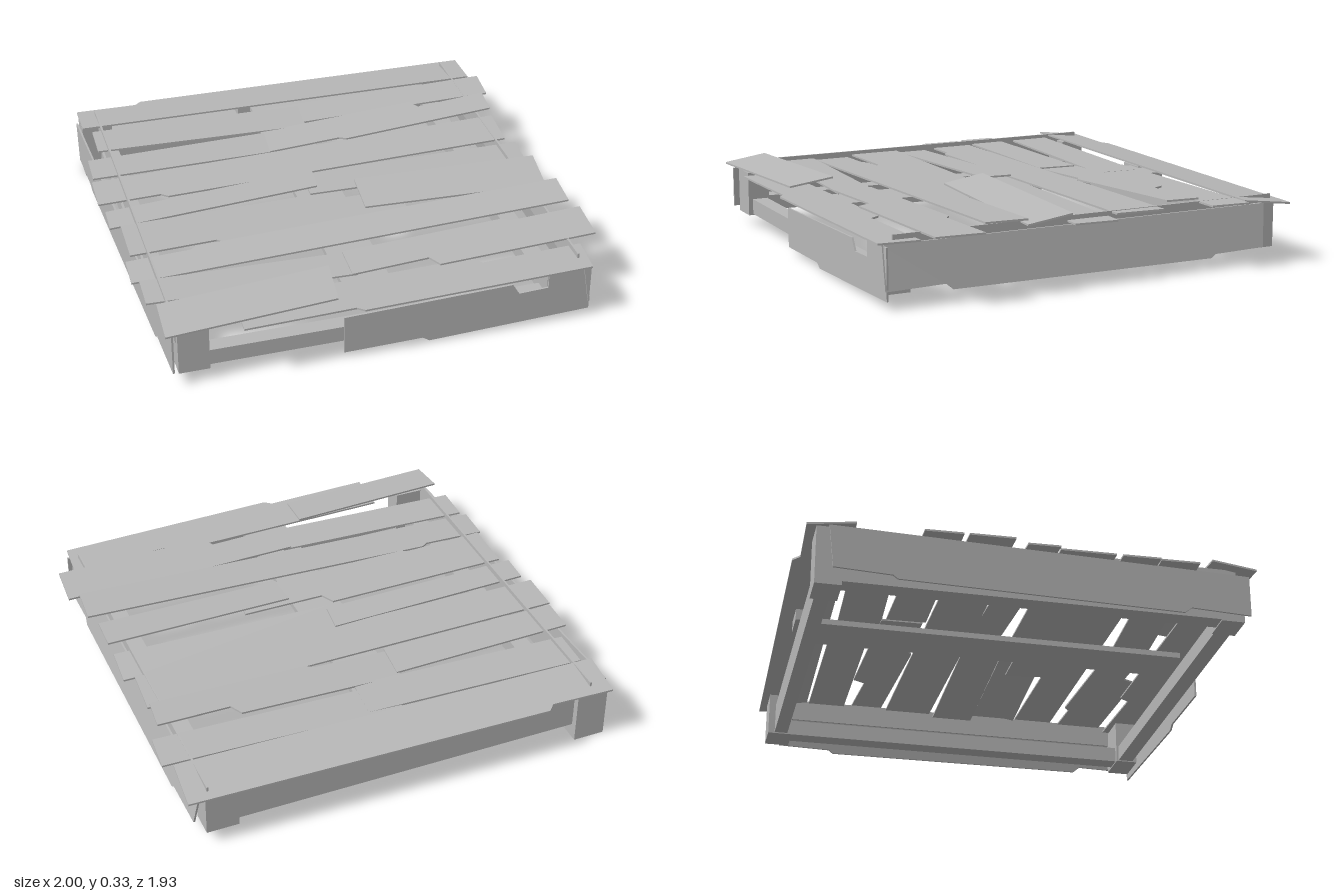
import * as THREE from 'three';

export function createModel() {
  const group = new THREE.Group();
  group.name = 'woodenPlatform';
  const wood = new THREE.MeshStandardMaterial({ color: 0xb8b8b8, side: THREE.DoubleSide });
  wood.name = 'greyWood';

  // Thin board from an outline: axis y takes (x, z), axis x takes (z, y), axis z takes (x, y).
  // offset(u, v) sets its position along the axis, so boards can lean.
  function board(name, axis, outline, offset) {
    const thickness = 0.008;
    const su = axis === 'x' ? -1 : 1, sv = axis === 'y' ? -1 : 1;
    const shape = new THREE.Shape(outline.map(([u, v]) => new THREE.Vector2(u * su, v * sv)));
    const geo = new THREE.ExtrudeGeometry(shape, { depth: thickness, bevelEnabled: false });
    const p = geo.attributes.position;
    for (let i = 0; i < p.count; i++) {
      const u = p.getX(i) * su, v = p.getY(i) * sv;
      const w = p.getZ(i) - thickness / 2 + offset(u, v);
      if (axis === 'y') p.setXYZ(i, u, w, v);
      else if (axis === 'x') p.setXYZ(i, w, v, u);
      else p.setXYZ(i, u, v, w);
    }
    geo.computeVertexNormals();
    const mesh = new THREE.Mesh(geo, wood);
    mesh.name = name;
    group.add(mesh);
  }

  // Deck plank between two ends, each given as [x, back z, front z].
  // A step [x, z before, z after] is a splintered break in the back or front edge.
  function plank(left, right, { y = 0.27, sx = 0, sz = 0, back, front } = {}) {
    const step = (s) => (s ? [[s[0], s[1]], [s[0] + 0.03, s[2]]] : []);
    const outline = [
      [left[0], left[1]], ...step(back), [right[0], right[1]],
      [right[0] - 0.015, right[2]], ...step(front).reverse(), [left[0] - 0.005, left[2]],
    ];
    board('deckPlank', 'y', outline, (x, z) => y + sx * x + sz * z);
  }

  // Square timber between two corners
  function timber(name, x0, x1, y0, y1, z0, z1) {
    const mesh = new THREE.Mesh(new THREE.BoxGeometry(x1 - x0, y1 - y0, z1 - z0), wood);
    mesh.position.set((x0 + x1) / 2, (y0 + y1) / 2, (z0 + z1) / 2);
    mesh.name = name;
    group.add(mesh);
  }

  // Deck, from the back row to the front row
  plank([-0.95, -0.95, -0.75], [0.95, -0.94, -0.72], { y: 0.374, sz: 0.12, back: [-0.67, -0.94, -0.97] });
  plank([-0.915, -0.73, -0.55], [0.07, -0.7, -0.51]);
  plank([-0.08, -0.72, -0.55], [0.98, -0.71, -0.54], { y: 0.268, sx: 0.02 });
  plank([-0.98, -0.48, -0.32], [-0.15, -0.5, -0.325]);
  plank([-0.16, -0.52, -0.34], [0.925, -0.495, -0.35],
    { y: 0.272, sx: 0.05, back: [0.57, -0.535, -0.48], front: [0.17, -0.345, -0.325] });
  plank([-0.995, -0.3, -0.11], [0.915, -0.335, -0.12], { y: 0.275, sx: 0.01, front: [-0.72, -0.115, -0.09] });
  plank([-0.98, -0.055, 0.08], [-0.03, -0.11, 0.03], { y: 0.282, sx: 0.025 });
  plank([-0.08, -0.11, 0.065], [0.945, -0.1, 0.09], { y: 0.267 });
  plank([-0.94, 0.09, 0.325], [0.3, 0.14, 0.31], { back: [-0.1, 0.08, 0.14], front: [-0.57, 0.31, 0.335] });
  plank([0.105, 0.1, 0.285], [0.945, 0.11, 0.305], { y: 0.348, sx: -0.015, sz: -0.16 });
  plank([-0.97, 0.345, 0.505], [0.97, 0.325, 0.505], { y: 0.288, sx: 0.033, back: [-0.69, 0.345, 0.325] });
  plank([-0.945, 0.515, 0.68], [-0.05, 0.55, 0.715], { y: 0.268 });
  plank([-0.085, 0.55, 0.72], [1, 0.525, 0.735],
    { y: 0.275, sx: 0.015, back: [0.64, 0.515, 0.54], front: [0.25, 0.7, 0.76] });
  plank([-0.92, 0.745, 0.935], [-0.185, 0.69, 0.885], { y: 0.42, sx: 0.005, sz: -0.15 });
  plank([-0.605, 0.76, 0.955], [0.905, 0.76, 0.935],
    { y: 0.265, back: [0.43, 0.735, 0.78], front: [-0.14, 0.94, 0.965] });

  // Leaning side boards with chipped lower edges
  const side = [[0.91, 0.255], [0.91, 0.075], [0.65, 0.08], [0.62, 0.055],
    [-0.58, 0.05], [-0.6, 0.065], [-0.84, 0.07], [-0.86, 0.255]];
  board('leftSideBoard', 'x', side, (z, y) => 0.91 - 0.17 * y);
  board('rightSideBoard', 'x', side, (z) => -0.93 + 0.04 * z);

  // Upright edge strips inside the side boards
  const strip = [[0.86, 0.29], [0.86, 0.19], [-0.9, 0.19], [-0.9, 0.29]];
  for (const x of [-0.87, 0.855]) board('edgeStrip', 'x', strip, () => x);

  // Broken front board
  board('frontBoard', 'z', [[-0.18, 0.2], [0.55, 0.22], [0.58, 0.17], [0.71, 0.175], [0.71, 0.25],
    [0.9, 0.25], [0.9, 0.035], [0.19, 0.01], [0.16, 0.03], [-0.18, 0.025]], () => 0.9);

  // Corner legs
  timber('backRightLeg', -0.95, -0.81, 0, 0.255, -0.91, -0.8);
  timber('backLeftLeg', 0.73, 0.87, 0.06, 0.255, -0.91, -0.8);
  timber('frontRightLeg', -0.87, -0.74, 0.055, 0.255, 0.79, 0.89);
  timber('frontLeftLeg', 0.71, 0.87, 0.055, 0.255, 0.79, 0.89);

  // Frame rails
  timber('frontRail', -0.8, 0.78, 0.06, 0.13, 0.8, 0.87);
  timber('backRail', -0.85, 0.8, 0.065, 0.205, -0.88, -0.82);
  timber('rightRail', -0.87, -0.79, 0.06, 0.13, -0.85, 0.84);
  timber('leftRail', 0.73, 0.81, 0.06, 0.13, -0.85, 0.84);

  // Flat centre beam and its end block
  timber('centreBeam', -0.14, 0.065, 0.225, 0.25, -0.85, 0.85);
  timber('centreBlock', -0.2, -0.07, 0.205, 0.255, -0.9, -0.8);

  return group;
}
